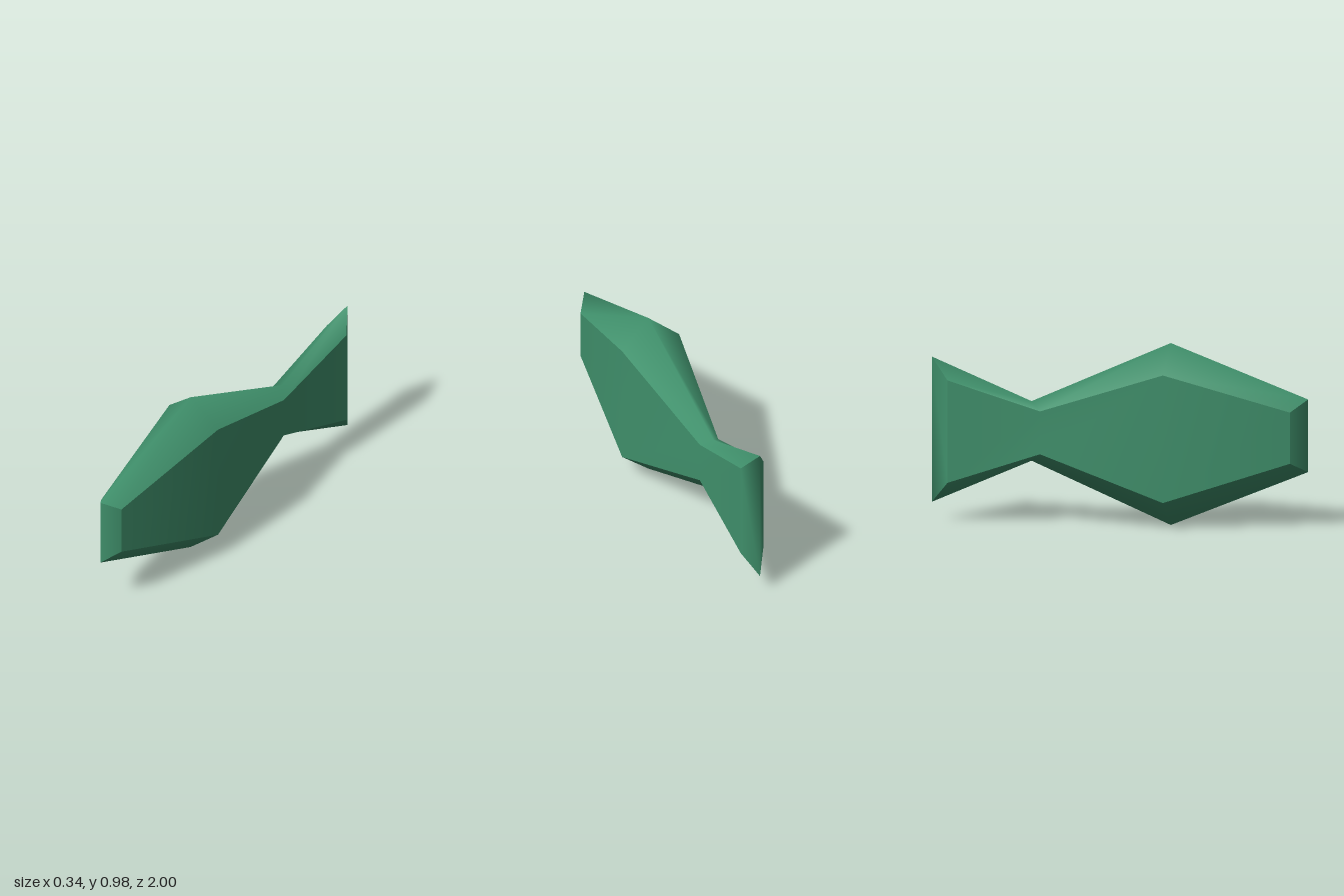
import * as THREE from 'three';

// Centre ridge as [z, y], from the front top over the back and round below
const RIDGE = [[1, 0.69], [0.27, 0.98], [-0.47, 0.655], [-1, 0.885],
  [-1, 0.105], [-0.47, 0.335], [0.27, 0.003], [1, 0.3]];
// Edge of the side faces as [z, y, half width], in the same order
const EDGE = [[0.91, 0.63, 0.07], [0.245, 0.835, 0.17], [-0.42, 0.61, 0.055], [-0.91, 0.77, 0.068],
  [-0.91, 0.22, 0.068], [-0.42, 0.38, 0.055], [0.245, 0.15, 0.17], [0.91, 0.355, 0.07]];

const ridgePoint = (i) => [0, RIDGE[i][1], RIDGE[i][0]];
const edgePoint = (i, side) => [side * EDGE[i][2], EDGE[i][1], EDGE[i][0]];

// Smooth surface through rows of points
function loft(name, rows, material) {
  const n = rows[0].length;
  const index = [];
  for (let r = 0; r < rows.length - 1; r++) {
    for (let c = 0; c < n - 1; c++) {
      const a = r * n + c;
      index.push(a, a + 1, a + n + 1, a, a + n + 1, a + n);
    }
  }
  const geometry = new THREE.BufferGeometry();
  geometry.setAttribute('position', new THREE.Float32BufferAttribute(rows.flat(2), 3));
  geometry.setIndex(index);
  geometry.computeVertexNormals();
  const mesh = new THREE.Mesh(geometry, material);
  mesh.name = name;
  return mesh;
}

export function createModel() {
  const group = new THREE.Group();
  group.name = 'fish';
  const green = new THREE.MeshStandardMaterial({ color: 0x40916c });
  green.name = 'green';

  // Bevelled strips round the rim, each smooth across its ridge
  const strips = { topBevel: [0, 1, 2, 3], tailBevel: [3, 4], bottomBevel: [4, 5, 6, 7], noseBevel: [7, 0] };
  for (const [name, ids] of Object.entries(strips)) {
    group.add(loft(name, [
      ids.map((i) => edgePoint(i, 1)),
      ids.map(ridgePoint),
      ids.map((i) => edgePoint(i, -1)),
    ], green));
  }

  // Flat-edged flanks
  const top = [0, 1, 2, 3];
  const bottom = [7, 6, 5, 4];
  group.add(loft('leftFlank', [bottom, top].map((ids) => ids.map((i) => edgePoint(i, 1))), green));
  group.add(loft('rightFlank', [top, bottom].map((ids) => ids.map((i) => edgePoint(i, -1))), green));
  return group;
}
